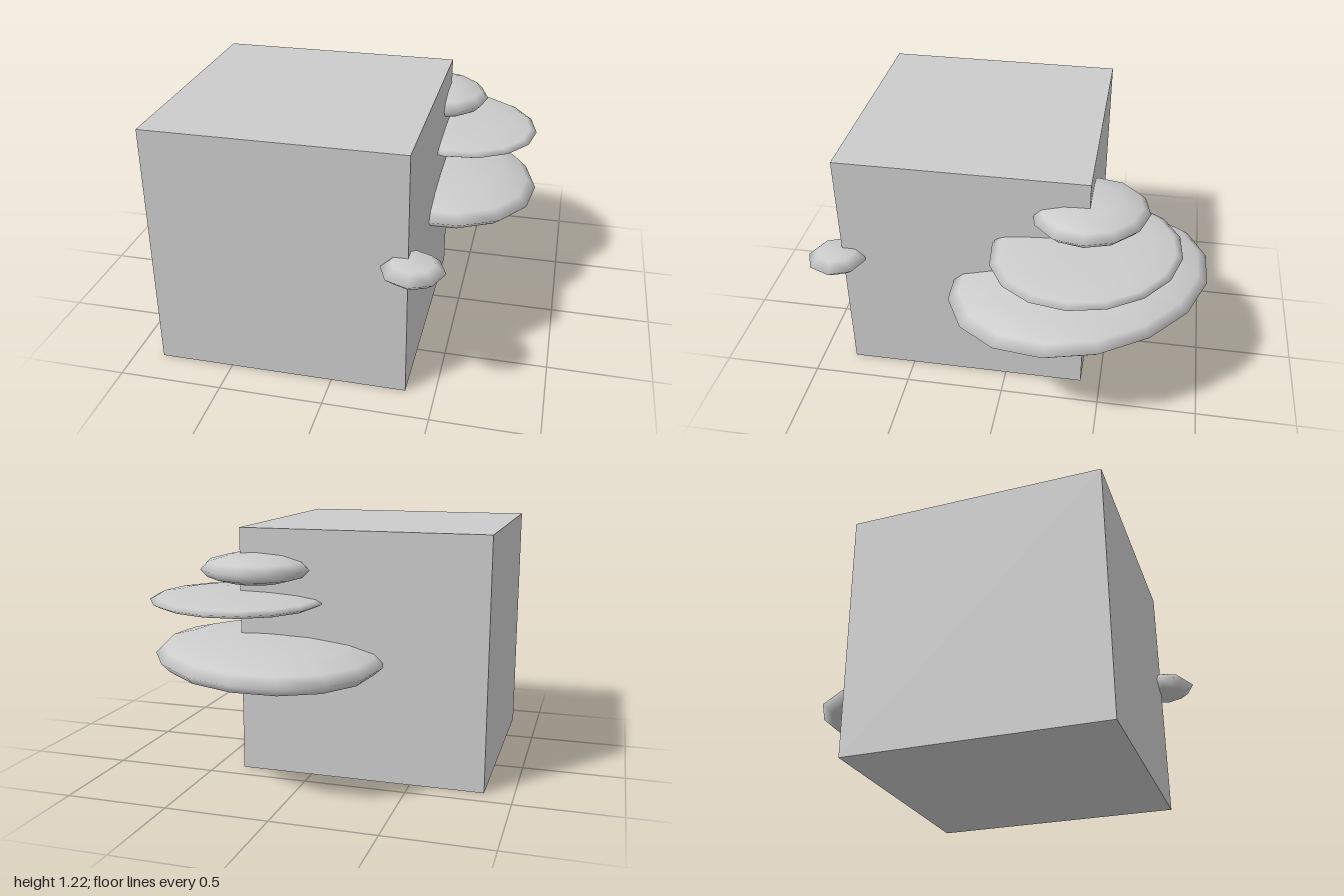
import * as THREE from 'three';

export function createModel() {
  const group = new THREE.Group();
  const material = new THREE.MeshStandardMaterial({ color: 0xcccccc });

  const add = (name, geometry, x, y, z) => {
    const mesh = new THREE.Mesh(geometry, material);
    mesh.name = name;
    mesh.position.set(x, y, z);
    group.add(mesh);
    return mesh;
  };

  // Solid block
  add('block', new THREE.BoxGeometry(1.22, 1.22, 1.225), -0.25, 0.61, 0.213);

  // Flattened, slightly oval shelves stacked around the back corner
  const shelf = (name, sides, [x, y, z], [long, half, short], angle, phase = 0) => {
    const geometry = new THREE.SphereGeometry(1, sides, sides / 2);
    geometry.rotateY(phase);
    geometry.scale(long, half, short);
    geometry.rotateY(-THREE.MathUtils.degToRad(angle));
    add(name, geometry, x, y, z);
  };
  shelf('largeShelf', 16, [0.233, 0.595, -0.363], [0.7, 0.11, 0.54], 48);
  shelf('middleShelf', 16, [0.38, 0.869, -0.395], [0.477, 0.043, 0.42], 47);
  shelf('smallShelf', 12, [0.28, 1.026, -0.4], [0.293, 0.075, 0.263], 44.5, Math.PI / 12);

  // Small flat-topped bud on the front corner
  const profile = [[0, -0.05], [0.1, -0.036], [0.147, 0.002], [0.1, 0.044], [0, 0.045]]
    .map(([r, y]) => new THREE.Vector2(r, y));
  add('cornerBud', new THREE.LatheGeometry(profile, 8), 0.385, 0.681, 0.846);

  return group;
}
